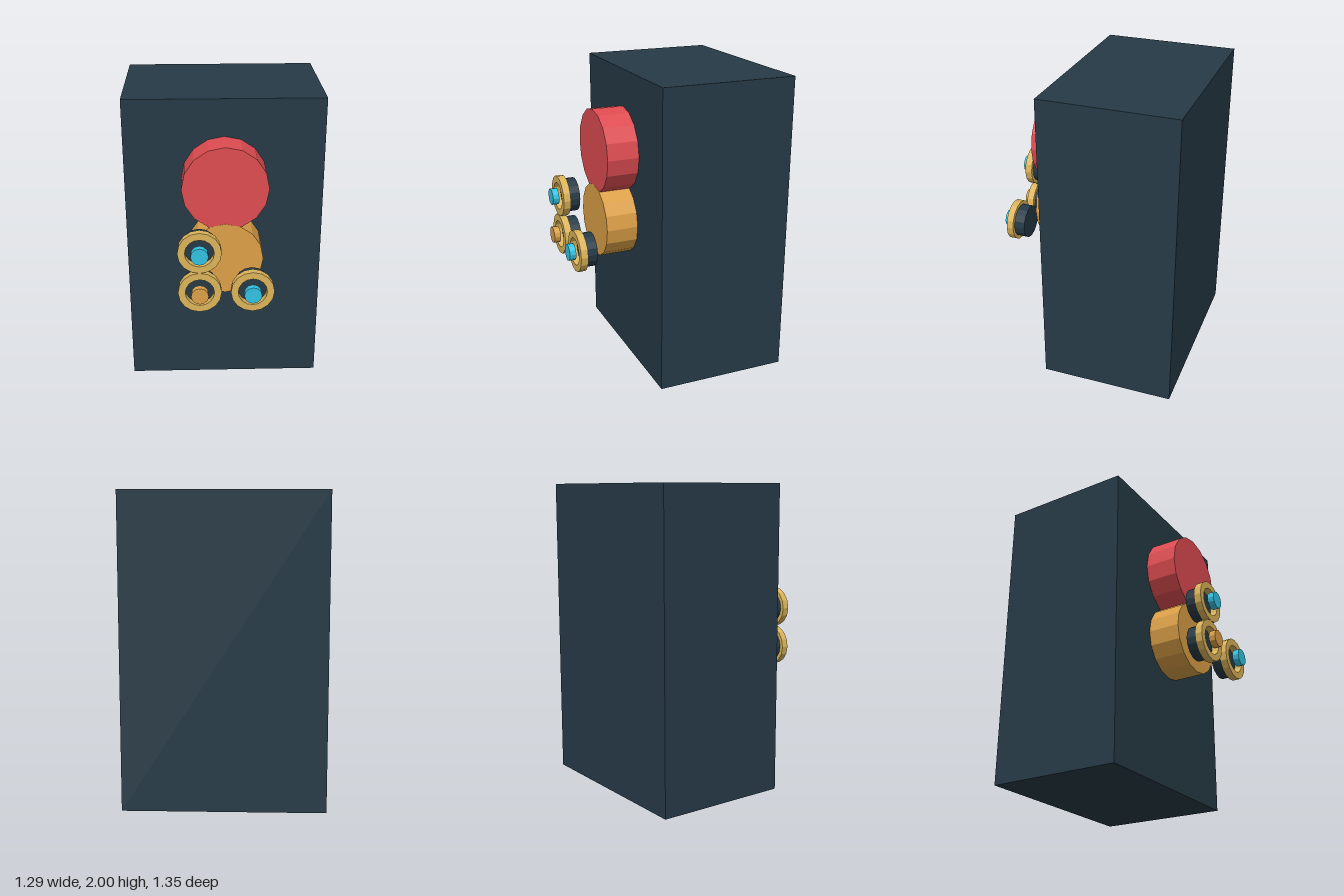
import * as THREE from 'three';

const paint = (name, color) => {
  const m = new THREE.MeshStandardMaterial({ color, flatShading: true });
  m.name = name;
  return m;
};

export function createModel() {
  const slate = paint('dark slate', 0x263a46);
  const red = paint('red', 0xde4c51);
  const orange = paint('orange', 0xdca047);
  const gold = paint('gold', 0xdcb45a);
  const cyan = paint('cyan', 0x33c3e2);

  const model = new THREE.Group();
  model.name = 'cabinet';

  const add = (parent, name, geometry, material, x, y, z) => {
    const mesh = new THREE.Mesh(geometry, material);
    mesh.name = name;
    mesh.position.set(x, y, z);
    parent.add(mesh);
  };

  // Disc whose axis runs along z, from z0 to z1
  const disc = (parent, name, r, z0, z1, sides, material, x = 0, y = 0) => {
    const g = new THREE.CylinderGeometry(r, r, z1 - z0, sides).rotateX(Math.PI / 2);
    add(parent, name, g, material, x, y, (z0 + z1) / 2);
  };

  const circle = (r, sides) => Array.from({ length: sides }, (_, i) => {
    const a = (i / sides) * Math.PI * 2;
    return new THREE.Vector2(r * Math.cos(a), r * Math.sin(a));
  });

  // Body
  add(model, 'body', new THREE.BoxGeometry(1.287, 2, 0.888), slate, 0, 1, -0.231);

  // Large discs on the front face; the lower one sits a hair proud
  disc(model, 'upperDisc', 0.276, 0.21, 0.424, 16, red, 0, 1.48);
  disc(model, 'lowerDisc', 0.245, 0.21, 0.425, 16, orange, 0, 1.0);

  // Flat square-edged ring for the knobs
  const ringShape = new THREE.Shape(circle(0.138, 16));
  ringShape.holes.push(new THREE.Path(circle(0.092, 16)));
  const ringGeometry = new THREE.ExtrudeGeometry(ringShape, { depth: 0.048, bevelEnabled: false });

  // Three knobs: base, ring and button
  const knobs = [
    ['upperRightKnob', -0.167, 1.14, cyan],
    ['lowerRightKnob', -0.167, 0.865, orange],
    ['lowerLeftKnob', 0.167, 0.865, cyan],
  ];
  for (const [name, x, y, buttonMaterial] of knobs) {
    const knob = new THREE.Group();
    knob.name = name;
    knob.position.set(x, y, 0);
    disc(knob, 'knobBase', 0.113, 0.505, 0.579, 16, slate);
    add(knob, 'knobRing', ringGeometry, gold, 0, 0, 0.578);
    disc(knob, 'knobButton', 0.056, 0.632, 0.675, 12, buttonMaterial);
    model.add(knob);
  }

  return model;
}
